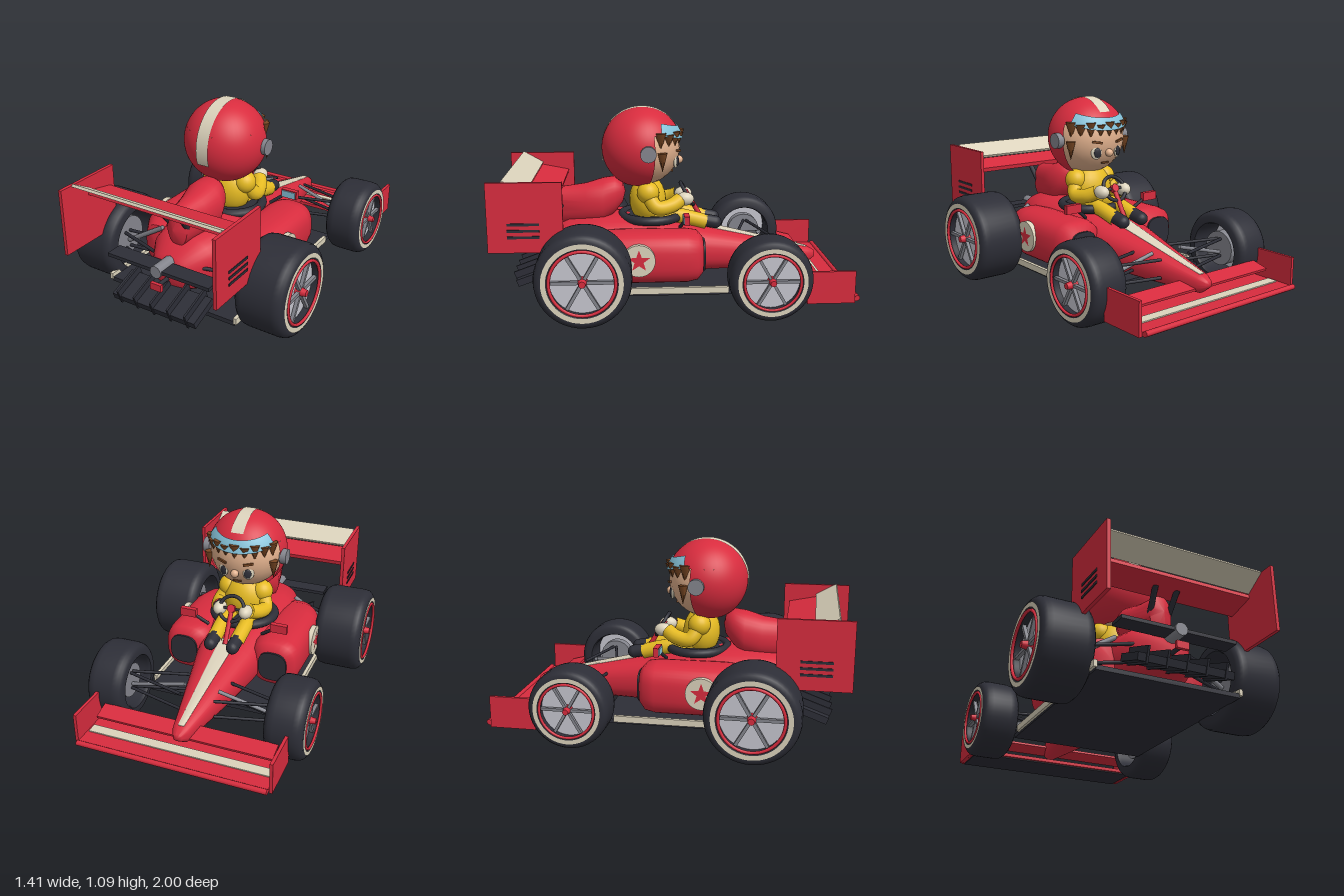
import * as THREE from 'three';
import { toCreasedNormals } from 'three/addons/utils/BufferGeometryUtils.js';

const material = (name, color, side = THREE.FrontSide) =>
  Object.assign(new THREE.MeshStandardMaterial({ color, side }), { name });
const V = (x, y, z) => new THREE.Vector3(x, y, z);

export function createModel() {
  const red = material('red', 0xd82c3e, THREE.DoubleSide), dark = material('dark', 0x2d2e37);
  const cream = material('cream', 0xdcd3bc, THREE.DoubleSide), grey = material('grey', 0x85868e);
  const silver = material('silver', 0xc6c6cf, THREE.DoubleSide), blue = material('blue', 0x86c3da, THREE.DoubleSide);
  const yellow = material('yellow', 0xe6bb22), skin = material('skin', 0xe3b28e), brown = material('brown', 0x7a4824);
  const car = new THREE.Group();
  car.name = 'raceCar';

  const add = (name, geo, mat, x = 0, y = 0, z = 0, parent = car) => {
    const m = new THREE.Mesh(geo, mat);
    m.name = name;
    m.position.set(x, y, z);
    parent.add(m);
    return m;
  };
  const box = (name, w, h, d, mat, x, y, z, parent) => add(name, new THREE.BoxGeometry(w, h, d), mat, x, y, z, parent);
  const ball = (name, r, mat, x, y, z, sx = 1, sy = 1, sz = 1) => {
    const m = add(name, new THREE.SphereGeometry(r, 24, 16), mat, x, y, z);
    m.scale.set(sx, sy, sz);
    return m;
  };
  const rod = (name, a, b, r, mat) => {
    const d = b.clone().sub(a);
    const m = add(name, new THREE.CylinderGeometry(r, r, d.length(), 10), mat);
    m.position.copy(a).addScaledVector(d, 0.5);
    m.quaternion.setFromUnitVectors(V(0, 1, 0), d.normalize());
    return m;
  };
  const tube = (name, pts, r, mat) =>
    add(name, new THREE.TubeGeometry(new THREE.CatmullRomCurve3(pts), 20, r, 14), mat);
  // Body skin through rounded sections [z, centre x, half width, centre y, half height]
  const loft = (name, sections, mat, power = 2.6, n = 32) => {
    const pos = [], idx = [];
    const bend = v => Math.sign(v) * Math.abs(v) ** (2 / power);
    sections.forEach(([z, cx, hw, cy, hh], i) => {
      for (let j = 0; j < n; j++) {
        const a = j / n * Math.PI * 2;
        pos.push(cx + hw * bend(Math.cos(a)), cy + hh * bend(Math.sin(a)), z);
        if (i === sections.length - 1) continue;
        const p = i * n + j, q = i * n + (j + 1) % n;
        idx.push(p, q, q + n, p, q + n, p + n);
      }
    });
    const g = new THREE.BufferGeometry();
    g.setAttribute('position', new THREE.Float32BufferAttribute(pos, 3));
    g.setIndex(idx);
    return add(name, toCreasedNormals(g, 0.8), mat);
  };

  // Fuselage, nose stripe and air intake cover
  loft('fuselage', [[-0.872, 0, 0, 0.2, 0], [-0.865, 0, 0.025, 0.2, 0.02], [-0.82, 0, 0.05, 0.195, 0.05],
    [-0.5, 0, 0.12, 0.225, 0.095], [-0.2, 0, 0.185, 0.26, 0.13], [-0.08, 0, 0.2, 0.275, 0.145],
    [0.1, 0, 0.23, 0.295, 0.165], [0.4, 0, 0.25, 0.305, 0.17], [0.6, 0, 0.2, 0.295, 0.155],
    [0.72, 0, 0.12, 0.28, 0.1], [0.76, 0, 0, 0.28, 0]], red);
  loft('noseStripe', [[-0.82, 0, 0, 0.236, 0.012], [-0.815, 0, 0.018, 0.236, 0.012], [-0.5, 0, 0.034, 0.31, 0.014],
    [-0.2, 0, 0.05, 0.38, 0.014], [-0.15, 0, 0.05, 0.394, 0.014], [-0.149, 0, 0, 0.394, 0]], cream, 8);
  loft('airIntakeCover', [[0.27, 0, 0, 0.6, 0], [0.285, 0, 0.06, 0.6, 0.06], [0.33, 0, 0.1, 0.585, 0.105],
    [0.4, 0, 0.125, 0.55, 0.13], [0.5, 0, 0.1, 0.53, 0.12], [0.65, 0, 0.065, 0.52, 0.11], [0.69, 0, 0, 0.52, 0]], red, 2.2);

  // Floor, diffuser, rear light and exhaust
  box('floor', 0.82, 0.025, 1.1, dark, 0, 0.107, 0.18);
  const diffuser = box('diffuser', 0.54, 0.04, 0.18, dark, 0, 0.16, 0.8);
  diffuser.rotation.x = 0.35;
  for (let i = -2; i <= 2; i++) {
    box('diffuserFin', 0.012, 0.09, 0.2, dark, i * 0.11, 0.175, 0.8).rotation.x = 0.35;
  }
  box('beamWing', 0.66, 0.02, 0.1, dark, 0, 0.345, 0.79);
  rod('exhaust', V(0, 0.345, 0.66), V(0, 0.345, 0.85), 0.036, grey);
  box('rearLight', 0.07, 0.04, 0.02, red, 0, 0.256, 0.845);
  rod('rearLightMount', V(0, 0.256, 0.7), V(0, 0.256, 0.84), 0.012, dark);

  // Rear wing
  box('rearWingPlane', 0.95, 0.025, 0.17, red, 0, 0.65, 0.72).rotation.x = -0.2;
  box('rearWingFlap', 0.93, 0.016, 0.14, cream, 0, 0.722, 0.86).rotation.x = -0.52;

  // Front wing
  box('frontWingPlane', 1.08, 0.02, 0.28, red, 0, 0.098, -0.845);
  box('frontWingStripe', 1.06, 0.008, 0.06, cream, 0, 0.11, -0.85);
  box('frontWingUnderside', 1.06, 0.008, 0.25, dark, 0, 0.086, -0.845);
  rod('frontWingEdge', V(-0.54, 0.105, -0.985), V(0.54, 0.105, -0.985), 0.015, red);
  box('frontWingFlap', 1.02, 0.015, 0.1, red, 0, 0.18, -0.77).rotation.x = -0.25;

  // Wheel with its outer face toward +x
  const wheel = (name, r, w, x, y, z) => {
    const g = new THREE.Group();
    g.name = name;
    g.position.set(x, y, z);
    if (x < 0) g.rotation.y = Math.PI;
    car.add(g);
    const h = w / 2;
    const profile = [[0.7, -h], [0.86, -h], [0.93, 0.012 - h], [0.98, 0.028 - h], [1, 0.055 - h], [1, h - 0.055],
      [0.98, h - 0.028], [0.93, h - 0.012], [0.86, h], [0.7, h], [0.67, h - 0.02], [0.67, 0.02 - h], [0.7, -h]];
    const tyre = new THREE.LatheGeometry(profile.map(([a, b]) => new THREE.Vector2(a * r, b)), 48);
    add('tyre', tyre.rotateZ(-Math.PI / 2), dark, 0, 0, 0, g);
    add('sidewallRing', new THREE.RingGeometry(0.73 * r, 0.83 * r, 48).rotateY(Math.PI / 2), cream, h + 0.003, 0, 0, g);
    add('rimRing', new THREE.TorusGeometry(0.67 * r, 0.035 * r, 8, 48).rotateY(Math.PI / 2), red, h, 0, 0, g);
    add('rimDisc', new THREE.CircleGeometry(0.67 * r, 48).rotateY(Math.PI / 2), silver, h - 0.045, 0, 0, g);
    for (let i = 0; i < 6; i++) {
      const a = (i + 0.5) * Math.PI / 3;
      const spoke = box('spoke', 0.02, 0.62 * r, 0.07 * r, grey, h - 0.025, Math.cos(a) * 0.34 * r, Math.sin(a) * 0.34 * r, g);
      spoke.rotation.x = a;
    }
    add('hub', new THREE.CylinderGeometry(0.07 * r, 0.11 * r, 0.06, 16).rotateZ(-Math.PI / 2), red, h - 0.015, 0, 0, g);
    add('brakeDrum', new THREE.CylinderGeometry(0.45 * r, 0.45 * r, 0.06, 24).rotateZ(Math.PI / 2), grey, -h / 3, 0, 0, g);
  };

  const star = new THREE.Shape();
  for (let i = 0; i < 10; i++) {
    const a = Math.PI / 2 + i * Math.PI / 5, r = i % 2 ? 0.026 : 0.064;
    star[i ? 'lineTo' : 'moveTo'](Math.cos(a) * r, Math.sin(a) * r);
  }

  // Paired parts
  for (const s of [1, -1]) {
    wheel('rearWheel', 0.257, 0.285, s * 0.547, 0.265, 0.495);
    wheel('frontWheel', 0.225, 0.215, s * 0.522, 0.23, -0.503);
    // Side pods, inlets, skirts and star badges
    loft('sidePod', [[-0.16, s * 0.27, 0, 0.29, 0], [-0.16, s * 0.28, 0.095, 0.29, 0.1], [-0.13, s * 0.275, 0.13, 0.288, 0.135],
      [-0.07, s * 0.27, 0.148, 0.285, 0.145], [0.3, s * 0.27, 0.15, 0.285, 0.145], [0.42, s * 0.255, 0.135, 0.28, 0.14],
      [0.5, s * 0.24, 0.1, 0.27, 0.12], [0.54, s * 0.23, 0, 0.26, 0]], red, 2.8);
    loft('sidePodInlet', [[-0.172, s * 0.28, 0, 0.29, 0], [-0.172, s * 0.28, 0.085, 0.29, 0.09],
      [-0.155, s * 0.28, 0.085, 0.29, 0.09]], dark, 2.8);
    box('sideSkirt', 0.02, 0.036, 1.03, cream, s * 0.415, 0.125, 0.22);
    add('badge', new THREE.CylinderGeometry(0.09, 0.09, 0.03, 32).rotateZ(Math.PI / 2), cream, s * 0.418, 0.3, 0.2);
    add('badgeStar', new THREE.ShapeGeometry(star).rotateY(s * Math.PI / 2), red, s * 0.436, 0.3, 0.2);
    // Wing endplates, vents and struts
    box('rearWingEndplate', 0.02, 0.38, 0.4, red, s * 0.476, 0.565, 0.8);
    for (let i = 0; i < 3; i++) box('endplateVent', 0.008, 0.014, 0.17, dark, s * 0.486, 0.46 + i * 0.035, 0.81);
    rod('rearWingStrut', V(s * 0.05, 0.48, 0.6), V(s * 0.065, 0.645, 0.72), 0.016, dark);
    box('frontWingEndplate', 0.018, 0.18, 0.26, red, s * 0.552, 0.175, -0.835);
    // Suspension
    for (const y of [0.19, 0.29]) {
      rod('frontWishbone', V(s * 0.1, y, -0.61), V(s * 0.45, y, -0.52), 0.009, dark);
      rod('frontWishbone', V(s * 0.12, y, -0.41), V(s * 0.45, y, -0.5), 0.009, dark);
      rod('rearWishbone', V(s * 0.12, y + 0.03, 0.66), V(s * 0.5, y, 0.52), 0.01, dark);
      rod('rearWishbone', V(s * 0.15, y + 0.03, 0.5), V(s * 0.5, y, 0.49), 0.01, dark);
    }
    rod('frontPushRod', V(s * 0.1, 0.31, -0.54), V(s * 0.45, 0.21, -0.51), 0.011, grey);
    rod('rearPushRod', V(s * 0.2, 0.4, 0.52), V(s * 0.46, 0.24, 0.51), 0.014, grey);
    // Mirrors
    box('mirrorShell', 0.1, 0.05, 0.03, red, s * 0.285, 0.495, -0.07);
    box('mirrorGlass', 0.084, 0.038, 0.008, blue, s * 0.285, 0.495, -0.053);
    rod('mirrorStalk', V(s * 0.17, 0.42, -0.04), V(s * 0.255, 0.485, -0.07), 0.01, dark);
    // Driver limbs
    ball('shoulder', 0.065, yellow, s * 0.105, 0.61, 0.14);
    tube('arm', [V(s * 0.11, 0.6, 0.14), V(s * 0.145, 0.53, 0.09), V(s * 0.125, 0.535, 0.01), V(s * 0.09, 0.56, -0.045)], 0.043, yellow);
    ball('glove', 0.044, cream, s * 0.08, 0.565, -0.075, 0.9, 0.9, 1.2);
    tube('leg', [V(s * 0.06, 0.46, 0.1), V(s * 0.07, 0.465, -0.03), V(s * 0.068, 0.425, -0.2)], 0.044, yellow);
    const boot = add('boot', new THREE.CapsuleGeometry(0.038, 0.07, 6, 16).rotateX(Math.PI / 2), dark, s * 0.068, 0.428, -0.22);
    boot.rotation.x = -0.2;
    // Ear caps, eyes and brows
    add('earCap', new THREE.CylinderGeometry(0.045, 0.045, 0.04, 24).rotateZ(Math.PI / 2), grey, s * 0.238, 0.855, 0.14);
    ball('eyeWhite', 0.036, cream, s * 0.077, 0.79, -0.021, 0.9, 1.15, 0.3).rotation.y = s * -0.38;
    ball('pupil', 0.024, dark, s * 0.075, 0.788, -0.031, 0.9, 1.2, 0.3).rotation.y = s * -0.38;
    const brow = box('eyebrow', 0.06, 0.013, 0.014, brown, s * 0.08, 0.85, -0.036);
    brow.rotation.set(0, s * -0.38, s * 0.15);
    const lock = add('sideHair', new THREE.ConeGeometry(0.028, 0.11, 6), brown, s * 0.2, 0.8, 0.06);
    lock.rotation.x = Math.PI;
  }

  // Cockpit rim, seat and steering wheel
  const rim = add('cockpitRim', new THREE.TorusGeometry(0.17, 0.026, 12, 40).rotateX(Math.PI / 2), dark, 0, 0.458, 0.12);
  rim.scale.set(1.08, 1, 1);
  add('seat', new THREE.CylinderGeometry(0.17, 0.17, 0.04, 32), dark, 0, 0.447, 0.12);
  const steering = new THREE.Group();
  steering.name = 'steeringWheel';
  steering.position.set(0, 0.58, -0.092);
  steering.rotation.x = 0.52;
  car.add(steering);
  add('steeringRim', new THREE.TorusGeometry(0.075, 0.011, 10, 32), dark, 0, 0, 0, steering);
  box('steeringSpoke', 0.14, 0.016, 0.01, dark, 0, 0, 0, steering);
  box('steeringSpoke', 0.016, 0.07, 0.01, dark, 0, -0.036, 0, steering);
  add('steeringHub', new THREE.CylinderGeometry(0.024, 0.024, 0.03, 20).rotateX(Math.PI / 2), red, 0, 0, 0, steering);
  rod('steeringColumn', V(0, 0.58, -0.092), V(0, 0.4, -0.2), 0.014, red);

  // Driver torso and head
  ball('torso', 0.15, yellow, 0, 0.55, 0.14, 0.9, 0.95, 0.72);
  ball('face', 0.22, skin, 0, 0.862, 0.17);
  ball('nose', 0.024, skin, 0, 0.785, -0.045);
  box('mouth', 0.05, 0.009, 0.012, brown, 0, 0.722, -0.003);

  // Open-faced helmet with stripe and raised visor
  const shell = (name, r, mat, phi, phiLen, theta, thetaLen) =>
    add(name, new THREE.SphereGeometry(r, 48, 24, phi, phiLen, theta, thetaLen), mat, 0, 0.86, 0.17);
  shell('helmetDome', 0.235, red, 0, Math.PI * 2, 0, 1.18);
  shell('helmetBack', 0.235, red, -0.3, Math.PI + 0.6, 1.18, 1.5);
  const visor = shell('visor', 0.243, blue, Math.PI * 1.5 - 1.2, 2.4, 0.76, 0.32);
  visor.rotation.x = -0.25;
  const stripe = new THREE.CylinderGeometry(0.24, 0.24, 0.075, 48, 1, true, -0.32, 2.72).rotateZ(Math.PI / 2);
  add('helmetStripe', stripe, cream, 0, 0.857, 0.17);

  // Fringe of hair below the helmet edge
  for (let i = -4; i <= 4; i++) {
    const a = i * 0.27;
    const tuft = add('hairTuft', new THREE.ConeGeometry(0.034, i % 2 ? 0.085 : 0.11, 6), brown,
      Math.sin(a) * 0.21, 0.91, 0.17 - Math.cos(a) * 0.21);
    tuft.rotation.x = Math.PI;
  }
  return car;
}
